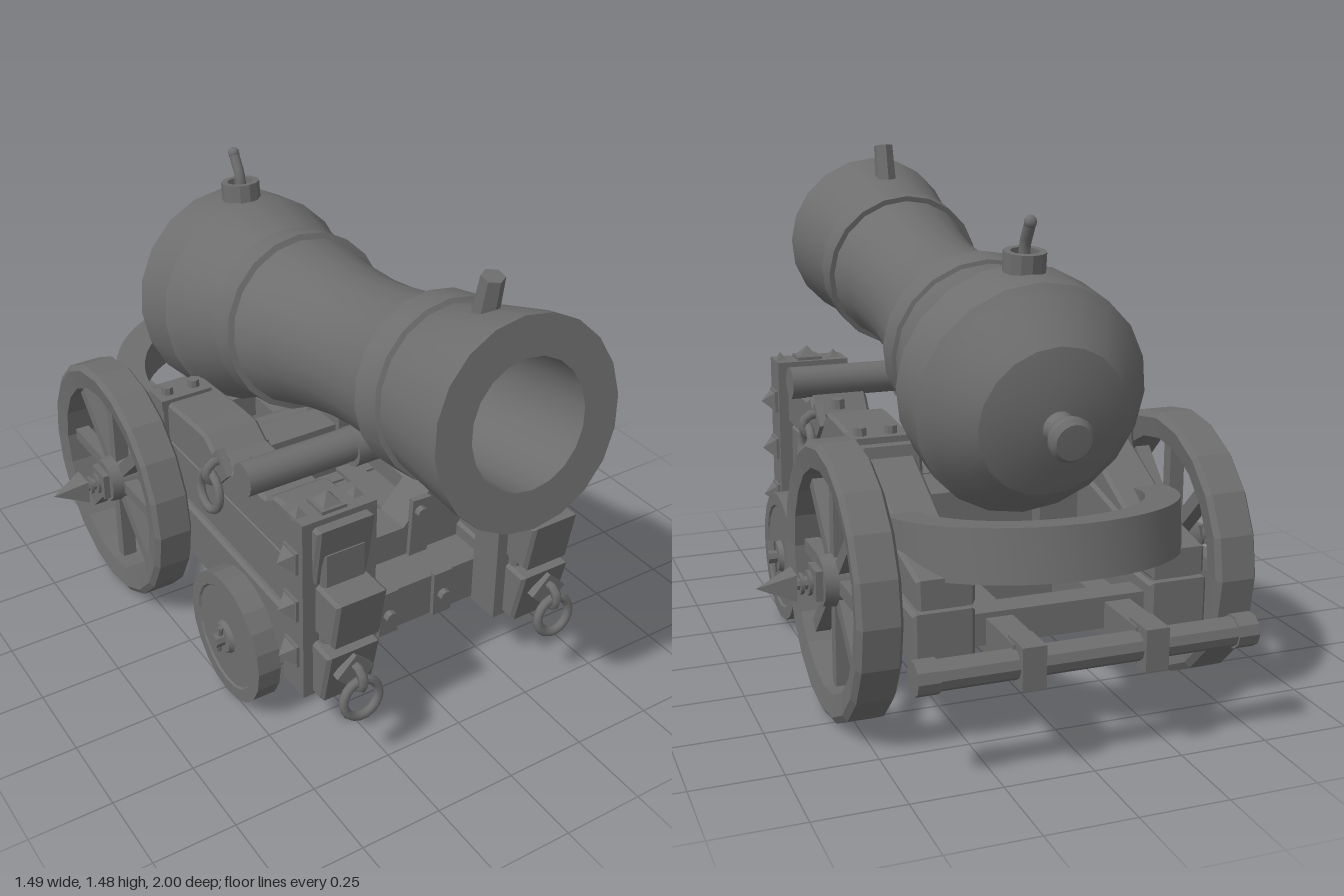
import * as THREE from 'three';
import { toCreasedNormals } from 'three/addons/utils/BufferGeometryUtils.js';

const HALF = Math.PI / 2;
const TILT = 0.174;

export function createModel() {
  const model = new THREE.Group();
  const smooth = new THREE.MeshStandardMaterial({ color: 0x6e6e6e });
  const flat = new THREE.MeshStandardMaterial({ color: 0x6e6e6e, flatShading: true });

  function add(name, geo, x = 0, y = 0, z = 0, mat = flat, parent = model) {
    const m = new THREE.Mesh(geo, mat);
    m.name = name;
    m.position.set(x, y, z);
    parent.add(m);
    return m;
  }
  const box = (name, w, h, d, x, y, z, parent) =>
    add(name, new THREE.BoxGeometry(w, h, d), x, y, z, flat, parent);
  // cylinder lying along x; the r1 end points to +x when s = 1
  const rodX = (r1, r0, len, seg = 12, s = 1) =>
    toCreasedNormals(new THREE.CylinderGeometry(r1, r0, len, seg).rotateZ(-s * HALF), 0.7);
  const lathe = (pts, seg) =>
    toCreasedNormals(new THREE.LatheGeometry(pts.map(p => new THREE.Vector2(...p)), seg), 0.4);
  // side profile of (z, y) points, extruded over x0..x1 with a small bevel
  function slab(pts, x0, x1) {
    const b = 0.01;
    const shape = new THREE.Shape(pts.map(p => new THREE.Vector2(...p)));
    return new THREE.ExtrudeGeometry(shape, {
      depth: x1 - x0 - 2 * b, bevelThickness: b, bevelSize: b, bevelOffset: -b, bevelSegments: 1
    }).rotateY(-HALF).translate(x1 - b, 0, 0);
  }
  // four-sided stud pointing along +y
  const stud = (r, h) => new THREE.ConeGeometry(r, h, 4).rotateY(Math.PI / 4);

  // ---- barrel: lathe from rear knob to muzzle and back down the bore
  const barrel = new THREE.Group();
  barrel.name = 'barrel';
  barrel.position.set(0, 1.148, 0.955);
  barrel.rotation.x = HALF - TILT;
  model.add(barrel);
  const profile = [
    [0, -1.822], [0.05, -1.82], [0.063, -1.805], [0.06, -1.785], [0.04, -1.745], [0.046, -1.722],
    [0.135, -1.712], [0.212, -1.688], [0.265, -1.633], [0.308, -1.572], [0.336, -1.54], [0.333, -1.37],
    [0.322, -1.35], [0.264, -1.155], [0.276, -1.15], [0.276, -1.065], [0.258, -1.06], [0.23, -0.92],
    [0.213, -0.76], [0.212, -0.65], [0.222, -0.5], [0.24, -0.4], [0.257, -0.4], [0.257, -0.305],
    [0.243, -0.3], [0.286, -0.02], [0.286, 0], [0.177, 0], [0.172, -1.3], [0, -1.3]
  ];
  add('barrelBody', lathe(profile, 20), 0, 0, 0, smooth, barrel);

  // sight near the muzzle and touch hole with its lever
  const sight = add('frontSight', new THREE.CylinderGeometry(0.032, 0.036, 0.12, 6), 0, 1.422, 0.765);
  sight.rotation.x = 0.2;
  const vent = lathe([[0.06, 0], [0.06, 0.075], [0.04, 0.075], [0.04, 0.055], [0, 0.055]], 12);
  add('touchHole', vent, 0, 1.205, -0.49, smooth).rotation.x = -0.12;
  const leverPath = new THREE.CatmullRomCurve3([
    [0, 1.23, -0.49], [0, 1.3, -0.5], [0, 1.335, -0.52], [0, 1.362, -0.535]
  ].map(p => new THREE.Vector3(...p)));
  add('touchLever', new THREE.TubeGeometry(leverPath, 8, 0.017, 8), 0, 0, 0, smooth);
  add('leverTip', new THREE.SphereGeometry(0.019, 8, 6), 0, 1.36, -0.534, smooth);

  // ---- trunnion bar with a centre collar
  add('trunnionBar', rodX(0.05, 0.05, 0.92, 14), 0, 0.78, 0.31, smooth);
  add('trunnionCollar', rodX(0.06, 0.06, 0.22, 14), 0, 0.77, 0.31, smooth);

  // ---- carriage cheeks: three stacked timbers around a core on each side
  const timbers = {
    upperTimber: [0.24, 0.42, [[0.65, 0.79], [0.41, 0.77], [0.36, 0.735], [0.26, 0.735], [0.21, 0.76],
      [0.17, 0.71], [0.07, 0.71], [0.01, 0.75], [-0.06, 0.75], [-0.34, 0.73], [-0.36, 0.6], [0.62, 0.6]]],
    middleTimber: [0.25, 0.41, [[0.73, 0.595], [0.7, 0.43], [-0.8, 0.42], [-0.8, 0.5], [-0.36, 0.595]]],
    lowerTimber: [0.25, 0.42, [[0.7, 0.4], [0.66, 0.22], [-0.3, 0.24], [-0.8, 0.27], [-0.8, 0.41], [-0.3, 0.425]]],
    cheekCore: [0.26, 0.4, [[0.64, 0.7], [0.64, 0.3], [-0.78, 0.3], [-0.78, 0.48], [-0.34, 0.7]]]
  };
  // ring hanging from a bracket; its plate faces +z before turning
  function hangingRing(name, x, y, z, turn) {
    const g = new THREE.Group();
    g.name = name;
    g.position.set(x, y, z);
    g.rotation.y = turn;
    model.add(g);
    box('ringPlate', 0.085, 0.085, 0.025, 0, 0.07, 0, g).rotation.z = Math.PI / 4;
    add('ringStaple', new THREE.TorusGeometry(0.035, 0.015, 6, 10).rotateY(HALF), 0, 0.06, 0.015, smooth, g);
    add('ring', new THREE.TorusGeometry(0.058, 0.014, 8, 18), 0, 0, 0.04, smooth, g).rotation.x = -0.1;
  }

  for (const s of [1, -1]) {
    for (const [name, [x0, x1, pts]] of Object.entries(timbers))
      add(name, s > 0 ? slab(pts, x0, x1) : slab(pts, -x1, -x0));

    // iron post band with pyramid studs
    box('postBand', 0.235, 0.59, 0.11, s * 0.333, 0.51, 0.56);
    for (const y of [0.35, 0.51, 0.67]) {
      box('studBase', 0.02, 0.07, 0.07, s * 0.45, y, 0.56);
      add('sideStud', stud(0.045, 0.04).rotateZ(-s * HALF), s * 0.478, y, 0.56);
    }
    box('topStudBase', 0.08, 0.02, 0.08, s * 0.34, 0.805, 0.56);
    add('topStud', stud(0.045, 0.035), s * 0.34, 0.83, 0.56);
    add('bottomStud', stud(0.045, 0.035).rotateX(Math.PI), s * 0.34, 0.2, 0.56);
    for (const x of [0.25, 0.43]) add('edgeStud', stud(0.03, 0.03), s * x, 0.815, 0.56);

    // strap over the cheek behind the trunnion
    box('rearStrap', 0.17, 0.03, 0.085, s * 0.355, 0.735, -0.27);
    box('sideStrap', 0.02, 0.5, 0.08, s * 0.425, 0.48, -0.27);
    for (const x of [0.31, 0.4])
      add('strapBolt', new THREE.CylinderGeometry(0.018, 0.02, 0.025, 8), s * x, 0.76, -0.27);
    for (const y of [0.3, 0.45])
      add('sideBolt', rodX(0.017, 0.02, 0.025, 8, s), s * 0.44, y, -0.27);
    add('cheekBolt', new THREE.CylinderGeometry(0.02, 0.022, 0.03, 8), s * 0.34, 0.735, 0.18);

    hangingRing('sideRing', s * 0.42, 0.63, 0.11, s * HALF);
    hangingRing('frontRing', s * 0.34, 0.26, 0.7, 0);

    // spoked rear wheel
    const wheel = new THREE.Group();
    wheel.name = 'rearWheel';
    wheel.position.set(s * 0.508, 0.393, -0.43);
    model.add(wheel);
    const rim = lathe([[0.31, -0.052], [0.37, -0.062], [0.388, -0.05], [0.388, 0.05], [0.37, 0.062],
      [0.31, 0.052], [0.31, -0.052]], 20).rotateZ(HALF);
    add('rim', rim, 0, 0, 0, flat, wheel);
    add('hub', rodX(0.07, 0.085, 0.12, 12, s), 0, 0, 0, smooth, wheel);
    box('hubCap', 0.03, 0.085, 0.085, s * 0.065, 0, 0, wheel);
    for (let i = 0; i < 8; i++) {
      const spoke = new THREE.BoxGeometry(0.045, 0.28, 0.04).translate(0, 0.19, 0).rotateX(i * Math.PI / 4);
      add('spoke', spoke, 0, 0, 0, flat, wheel);
    }
    // axle spike: shaft, discs and a four-sided point
    add('spikeShaft', rodX(0.016, 0.022, 0.09, 8, s), s * 0.1, 0, 0, smooth, wheel);
    for (const [x, r] of [[0.09, 0.035], [0.112, 0.03]])
      add('spikeDisc', rodX(r, r, 0.01, 10), s * x, 0, 0, smooth, wheel);
    add('spikeTip', stud(0.054, 0.105).rotateZ(-s * HALF), s * 0.183, 0, 0, flat, wheel);

    // solid front wheel
    const disc = lathe([[0, -0.03], [0.16, -0.03], [0.165, -0.036], [0.204, -0.036], [0.204, 0.036],
      [0.165, 0.036], [0.16, 0.03], [0, 0.03]], 20).rotateZ(HALF);
    add('frontWheel', disc, s * 0.482, 0.225, 0.277);
    add('frontHub', rodX(0.045, 0.055, 0.02, 12, s), s * 0.517, 0.225, 0.277, smooth);
    add('frontAxleEnd', rodX(0.022, 0.022, 0.06, 8), s * 0.525, 0.225, 0.277, smooth);
    add('linchPin', new THREE.CylinderGeometry(0.008, 0.008, 0.1, 6), s * 0.535, 0.225, 0.277).rotation.x = 0.2;

    // bolted straps on the stepped front transoms
    box('lowerStrap', 0.065, 0.15, 0.02, s * 0.097, 0.295, 0.505);
    box('upperStrap', 0.065, 0.2, 0.02, s * 0.1, 0.455, 0.375).rotation.z = -s * 0.05;
    for (const [y, z] of [[0.29, 0.52], [0.515, 0.39]])
      add('transomBolt', new THREE.CylinderGeometry(0.018, 0.02, 0.03, 8).rotateX(HALF), s * 0.097, y, z);

    // long floor beam and bracket for the rear bar
    box('floorBeam', 0.075, 0.1, 1.3, s * 0.17, 0.31, -0.3);
    box('barBracket', 0.065, 0.115, 0.1, s * 0.17, 0.312, -0.95);
    box('cradleBlock', 0.12, 0.14, 0.2, s * 0.19, 0.5, -0.22);
  }

  // ---- cross members between the cheeks
  const panel = new THREE.Shape([
    [-0.26, 0.24], [0.26, 0.24], [0.26, 0.64], [0.17, 0.6], [0.05, 0.46], [-0.05, 0.46], [-0.17, 0.6], [-0.26, 0.64]
  ].map(p => new THREE.Vector2(...p)));
  add('notchedTransom', new THREE.ExtrudeGeometry(panel, { depth: 0.12, bevelEnabled: false }), 0, 0, 0.25);
  box('frontTransom', 0.52, 0.14, 0.15, 0, 0.29, 0.425);
  box('frontAxleBeam', 0.88, 0.07, 0.1, 0, 0.225, 0.277);
  for (const z of [0.16, -0.005, -0.17, -0.335]) box('floorPlank', 0.52, 0.08, 0.155, 0, 0.305, z);
  box('middleTransom', 0.52, 0.2, 0.12, 0, 0.43, -0.2);
  box('rearTransom', 0.52, 0.09, 0.08, 0, 0.33, -0.72);
  add('rearAxle', rodX(0.045, 0.045, 1.0, 12), 0, 0.393, -0.43, smooth);

  // ---- curved rear guard around the breech, rising toward the back
  const guard = new THREE.Shape();
  guard.moveTo(0.415, -0.04);
  guard.absarc(0, 0, 0.415, 0, Math.PI, false);
  guard.lineTo(-0.415, -0.04);
  guard.lineTo(-0.32, -0.04);
  guard.absarc(0, 0, 0.32, Math.PI, 0, true);
  guard.lineTo(0.32, -0.04);
  const guardGeo = new THREE.ExtrudeGeometry(guard, { depth: 0.145, bevelEnabled: false, curveSegments: 14 });
  add('rearGuard', toCreasedNormals(guardGeo.rotateX(-HALF), 0.4), 0, 0.455, -0.56, smooth).rotation.x = 0.14;

  // ---- rear handle bar
  add('rearBar', rodX(0.04, 0.04, 0.94, 10), 0, 0.31, -0.95);
  for (const s of [1, -1]) add('barEnd', rodX(0.046, 0.046, 0.06, 10), s * 0.442, 0.31, -0.95);

  return model;
}
